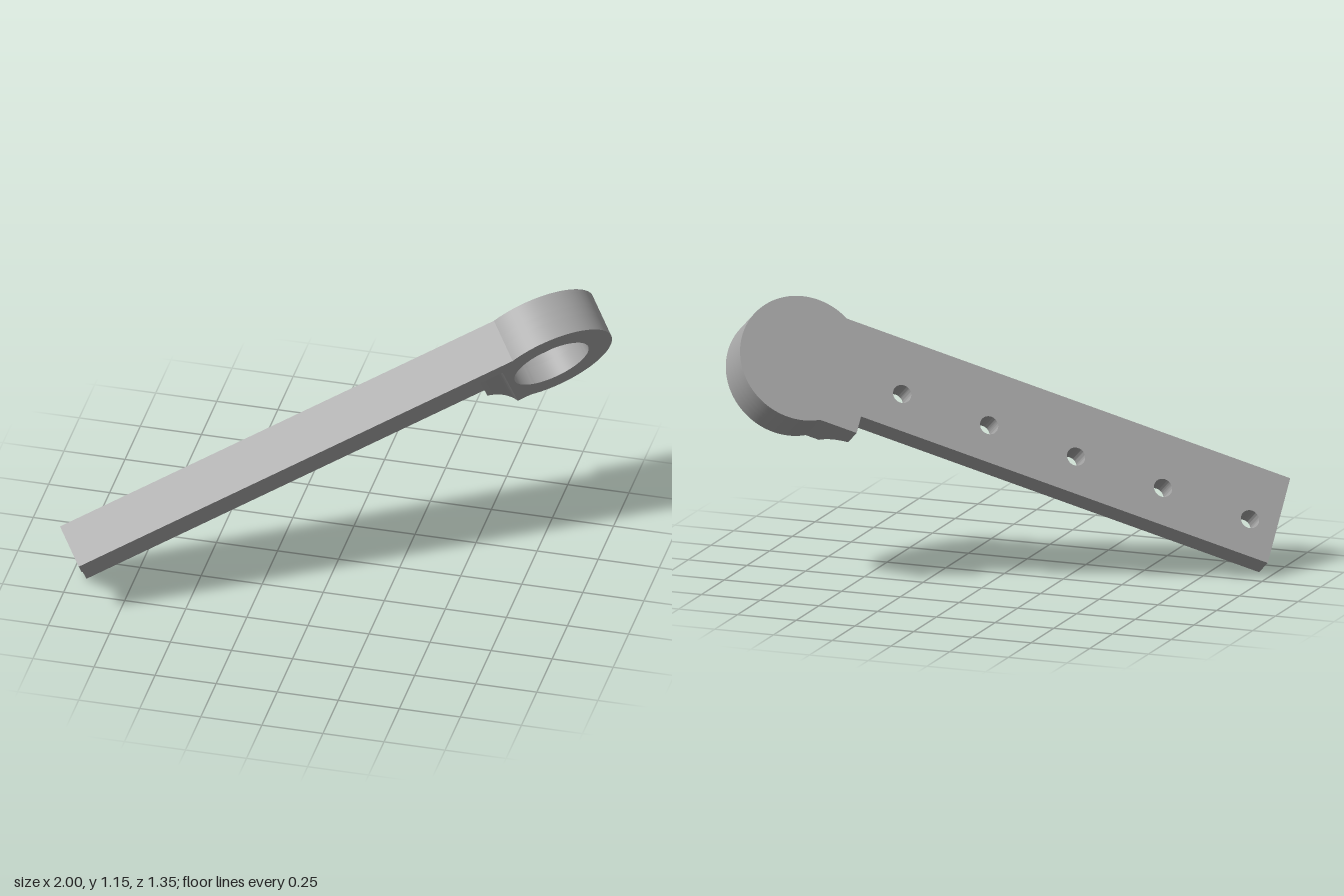
import * as THREE from 'three';
import { toCreasedNormals } from 'three/addons/utils/BufferGeometryUtils.js';

// Local frame: x along the bar, y across it (0 on the hole line), z out of the back face
const TOP = 0.227, PLATE_BOTTOM = -0.153, FLANGE_BOTTOM = 0.154;
const HEAD_X = 2.038, HEAD_R = 0.262, RECESS_R = 0.161, HOLE_R = 0.038;
const NECK_X = 1.749, NECK_FRONT_X = 1.85;
const PLATE_Z = 0.113, FLOOR_Z = 0.075, DIMPLE_Z = 0.012, FRONT_Z = 0.187;

const circle = (x, r) => new THREE.Path().absarc(x, 0, r, 0, Math.PI * 2, true);

// Straight outline closed by the round head
function headShape(points, holes) {
  const shape = new THREE.Shape(points.map(([x, y]) => new THREE.Vector2(x, y)));
  shape.autoClose = true;
  const a = Math.PI - Math.asin(TOP / HEAD_R);
  shape.absarc(HEAD_X, 0, HEAD_R, -a, a, false);
  shape.holes.push(...holes);
  return shape;
}

export function createModel() {
  const group = new THREE.Group();
  group.name = 'bracketArm';
  const metal = new THREE.MeshStandardMaterial({ color: 0xa8a8a8 });
  metal.name = 'greyMetal';

  const body = new THREE.Group();
  body.name = 'armBody';
  group.add(body);

  function extrude(name, shape, z0, z1) {
    const geometry = new THREE.ExtrudeGeometry(shape, {
      depth: z1 - z0, bevelEnabled: false, curveSegments: 48,
    });
    const mesh = new THREE.Mesh(toCreasedNormals(geometry, 0.5), metal);
    mesh.name = name;
    mesh.position.z = z0;
    body.add(mesh);
    return mesh;
  }

  // Drilled plate with the round head, in layers for the blind recess and its centre dimple
  const outline = [
    [0, TOP], [0, PLATE_BOTTOM], [NECK_X, PLATE_BOTTOM], [NECK_X, -TOP],
  ];
  const boltHoles = () => Array.from({ length: 5 }, (_, i) => circle(0.115 + 0.374 * i, HOLE_R));
  extrude('plateBack', headShape(outline, boltHoles()), 0, DIMPLE_Z);
  extrude('plateMiddle', headShape(outline, [...boltHoles(), circle(HEAD_X, HOLE_R)]), DIMPLE_Z, FLOOR_Z);
  extrude('plateFront', headShape(outline, [...boltHoles(), circle(HEAD_X, RECESS_R)]), FLOOR_Z, PLATE_Z);

  // Raised front of the head around the recess
  extrude('headRing', headShape(
    [[NECK_FRONT_X, TOP], [NECK_FRONT_X, -TOP]], [circle(HEAD_X, RECESS_R)],
  ), PLATE_Z, FRONT_Z);

  // Flange along the top edge
  const flange = new THREE.Mesh(
    new THREE.BoxGeometry(NECK_FRONT_X, TOP - FLANGE_BOTTOM, FRONT_Z - PLATE_Z), metal);
  flange.name = 'topFlange';
  flange.position.set(NECK_FRONT_X / 2, (TOP + FLANGE_BOTTOM) / 2, (PLATE_Z + FRONT_Z) / 2);
  body.add(flange);

  // Concave blend from the plate up to the head, drawn in x-z and swept across the bar
  const blend = new THREE.Shape();
  blend.moveTo(NECK_X, -PLATE_Z);
  blend.lineTo(NECK_FRONT_X, -PLATE_Z);
  blend.lineTo(NECK_FRONT_X, -FRONT_Z);
  blend.quadraticCurveTo(1.82, -0.13, NECK_X, -PLATE_Z);
  const neck = extrude('neckBlend', blend, 0, FLANGE_BOTTOM + TOP);
  neck.rotation.x = -Math.PI / 2;
  neck.position.set(0, -TOP, 0);

  // Tilt the arm into its resting pose
  const along = new THREE.Vector3(0.8235, 0.3698, -0.4303).normalize();
  const across = new THREE.Vector3(0, 0.7584, 0.6517).normalize();
  const out = new THREE.Vector3().crossVectors(along, across).normalize();
  body.quaternion.setFromRotationMatrix(new THREE.Matrix4().makeBasis(along, across, out));
  body.position.set(-1, 0.177, 0.412);
  return group;
}
